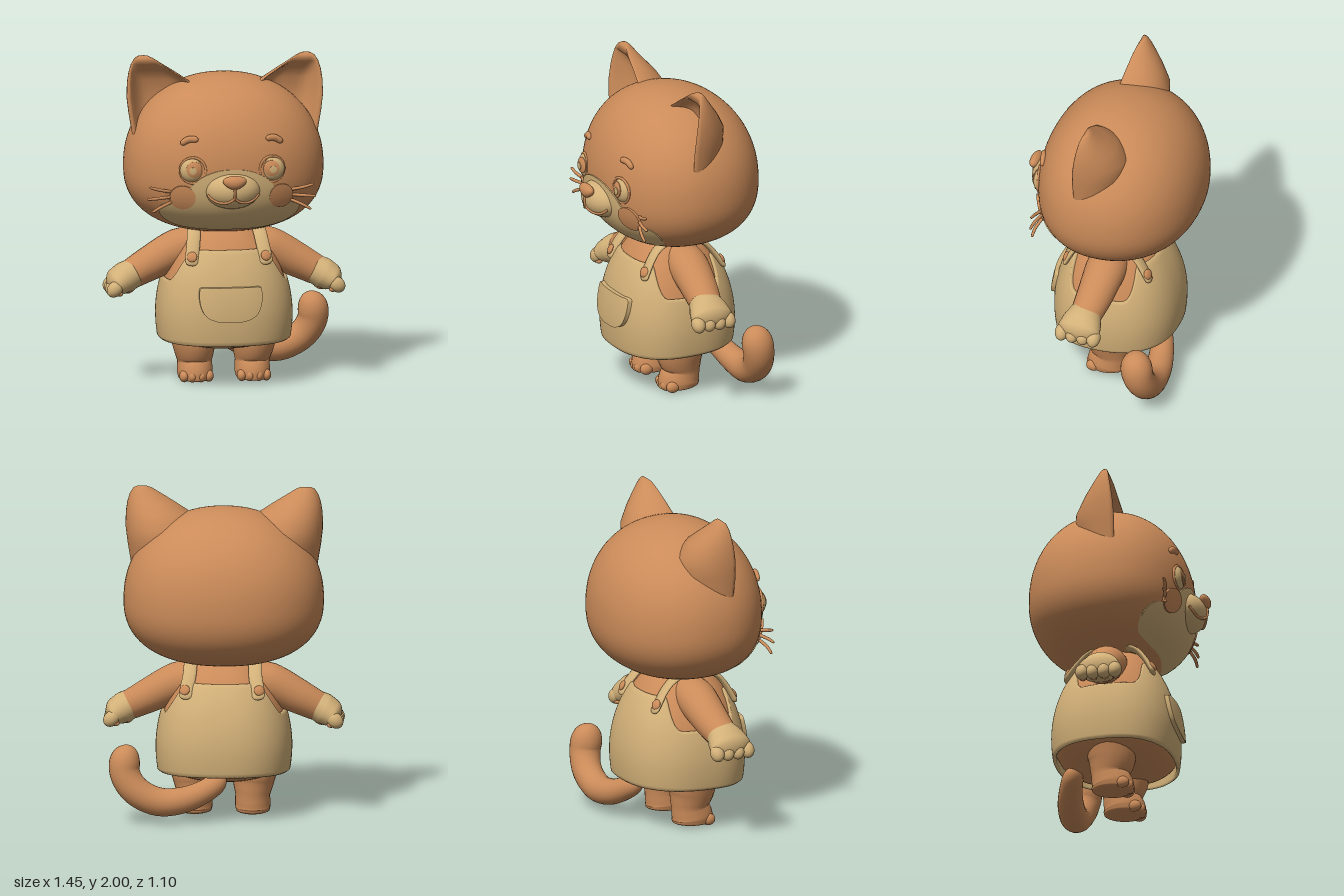
import * as THREE from 'three';

const V = (x, y, z) => new THREE.Vector3(x, y, z);
const spow = (a, p) => Math.sign(a) * Math.pow(Math.abs(a), p);
const root = (a, p) => Math.pow(Math.max(a, 0), p);
const TAU = Math.PI * 2;

// Skin closed rings of points into one smooth surface
function loft(rings) {
  const n = rings[0].length, pos = [], idx = [];
  rings.forEach(r => r.forEach(p => pos.push(p.x, p.y, p.z)));
  for (let i = 0; i < rings.length - 1; i++) for (let j = 0; j < n; j++) {
    const a = i * n + j, b = i * n + (j + 1) % n, c = a + n, d = b + n;
    idx.push(a, c, b, b, c, d);
  }
  const g = new THREE.BufferGeometry();
  g.setAttribute('position', new THREE.Float32BufferAttribute(pos, 3));
  g.setIndex(idx);
  g.computeVertexNormals();
  return g;
}

const ring = (n, fn) => Array.from({ length: n }, (_, j) => fn(j / n * TAU));

// Tube with changing elliptical section; r1 lies across ref, r2 along it
function sweep(pts, r1, r2, { ref = V(0, 0, 1), start = 0.1, end = 0.1, n = 36, seg = 24 } = {}) {
  const curve = new THREE.CatmullRomCurve3(pts.map(p => V(...p)));
  const lerp = (a, t) => {
    const f = t * (a.length - 1), i = Math.min(Math.floor(f), a.length - 2);
    return a[i] + (a[i + 1] - a[i]) * (f - i);
  };
  const rings = [];
  for (let i = 0; i <= n; i++) {
    const t = 0.5 - 0.5 * Math.cos(Math.PI * i / n);
    const c = curve.getPoint(t), T = curve.getTangent(t);
    const B = ref.clone().addScaledVector(T, -ref.dot(T)).normalize();
    const N = T.clone().cross(B);
    let k = 1;
    if (t < start) k = root(1 - ((start - t) / start) ** 2, 0.5);
    if (t > 1 - end) k = root(1 - ((t - 1 + end) / end) ** 2, 0.5);
    rings.push(ring(seg, a => c.clone().addScaledVector(N, Math.cos(a) * lerp(r1, t) * k)
      .addScaledVector(B, Math.sin(a) * lerp(r2, t) * k)));
  }
  return loft(rings);
}

// Thin plate with a closed outline, draped over a front surface z(x, y)
function patch(outline, cx, cy, zFn, h) {
  const curve = new THREE.CatmullRomCurve3(outline.map(p => V(p[0], p[1], 0)), true);
  const edge = Array.from({ length: 72 }, (_, j) => curve.getPoint(j / 72));
  const at = (k, o) => edge.map(p => {
    const x = cx + (p.x - cx) * k, y = cy + (p.y - cy) * k;
    return V(x, y, zFn(x, y) + o);
  });
  const rings = [];
  for (let i = 0; i <= 14; i++) rings.push(at(i / 14, h));
  rings.push(at(1, h), at(1, -0.003));
  return loft(rings);
}
const circle = (x, y, rx, ry = rx) => ring(12, a => [x + rx * Math.cos(a), y + ry * Math.sin(a)]);
const ball = (x, y, z, rx, ry, rz) => new THREE.SphereGeometry(1, 28, 20).scale(rx, ry, rz).translate(x, y, z);

function mirror(g) {
  const m = g.clone().scale(-1, 1, 1), ix = m.index.array;
  for (let i = 0; i < ix.length; i += 3) [ix[i], ix[i + 1]] = [ix[i + 1], ix[i]];
  return m;
}

// Head surface
const HM = 2.15;
const headR = y => {
  const v = (y - 1.32) / (y > 1.32 ? 0.56 : 0.4), n = y > 1.32 ? 2.1 : 2.4;
  return root(1 - Math.pow(Math.abs(v), n), 1 / n);
};
const headZ = (x, y) => -0.03 + 0.475 * root(headR(y) ** HM - Math.abs(x / 0.605) ** HM, 1 / HM);
const muzzleZ = (x, y) => 0.4 + 0.13 * root(1 - (x / 0.17) ** 2 - ((y - 1.235) / 0.115) ** 2, 0.5);
const eyeZ = (x, y) => 0.385 + 0.055 * root(1 - ((x - 0.24) / 0.08) ** 2 - ((y - 1.36) / 0.08) ** 2, 0.5);

// Torso surface, shared by the body and the dress
const BM = 2.4;
const bodyF = y => y > 0.42 ? root(1 - Math.pow((y - 0.42) / 0.6, 1.9), 0.526) : 1 - 0.03 * ((0.42 - y) / 0.15) ** 2;
const bodyPoint = (a, y, o, k = 1) => {
  const f = bodyF(y), s = Math.sin(a);
  return V((0.412 * f + o) * k * spow(Math.cos(a), 2 / BM), y, ((s > 0 ? 0.355 : 0.415) * f + o) * k * spow(s, 2 / BM));
};
const dressZ = (x, y) => 0.355 * bodyF(y) * root(1 - Math.abs(x / (0.412 * bodyF(y))) ** BM, 1 / BM);

export function createModel() {
  const model = new THREE.Group();
  model.name = 'kitten';
  const fur = new THREE.MeshStandardMaterial({ color: 0xcb8b59 });
  fur.name = 'orange fur';
  const cream = new THREE.MeshStandardMaterial({ color: 0xd2b078 });
  cream.name = 'cream';
  const dressMat = cream.clone();
  dressMat.side = THREE.DoubleSide;
  dressMat.name = 'cream cloth';
  const add = (name, geo, mat) => {
    const m = new THREE.Mesh(geo, mat);
    m.name = name;
    model.add(m);
    return m;
  };
  const pair = (name, geo, mat) => {
    add(name + 'Left', geo, mat);
    add(name + 'Right', mirror(geo), mat);
  };

  // Head
  const headRings = [];
  for (let i = 0; i <= 56; i++) {
    const v = Math.sin((i / 56 - 0.5) * Math.PI), y = 1.32 + v * (v > 0 ? 0.56 : 0.4), r = headR(y);
    headRings.push(ring(80, a => V(0.605 * r * spow(Math.cos(a), 2 / HM), y,
      -0.03 + (Math.sin(a) > 0 ? 0.475 : 0.52) * r * spow(Math.sin(a), 2 / HM))));
  }
  add('head', loft(headRings), fur);

  // Ears: rounded at the back, hollow at the front. Rows: y, inner x, outer x, front z, depth
  const earRows = [[1.5, 0.1, 0.56, 0.05, 0.2], [1.65, 0.12, 0.585, 0.05, 0.25], [1.75, 0.14, 0.597, 0.045, 0.24],
    [1.84, 0.21, 0.594, 0.04, 0.18], [1.9, 0.3, 0.585, 0.035, 0.125], [1.95, 0.38, 0.57, 0.03, 0.08],
    [1.985, 0.435, 0.548, 0.022, 0.045], [1.998, 0.465, 0.525, 0.01, 0.02], [2, 0.495, 0.497, 0, 0.001]];
  pair('ear', loft(earRows.map(([y, xi, xo, zf, d]) => ring(40, a => {
    const s = Math.sin(a);
    const hollow = THREE.MathUtils.smoothstep(s, 0.35, 0.95) * d * 0.6 * (y > 1.94 ? 0 : 1);
    return V((xi + xo) / 2 + (xo - xi) / 2 * Math.cos(a), y, s < 0 ? zf + d * s : zf + 0.12 * d * Math.min(s * 3, 1) - hollow);
  }))), fur);

  // Face markings
  const half = [[0.2, 0.97], [0.34, 1.0], [0.42, 1.07], [0.42, 1.13], [0.34, 1.17], [0.27, 1.24], [0.2, 1.31], [0.1, 1.355]];
  const mask = [[0, 0.965], ...half, [0, 1.365], ...half.map(([x, y]) => [-x, y]).reverse()];
  add('faceMask', patch(mask, 0, 1.15, headZ, 0.008), cream);
  pair('cheek', patch(circle(0.3, 1.19, 0.075), 0.3, 1.19, headZ, 0.015), fur);

  // Muzzle, nose and mouth
  add('muzzle', ball(0, 1.235, 0.4, 0.17, 0.115, 0.13), cream);
  const nose = ball(0, 0, 0, 0.07, 0.042, 0.035), np = nose.attributes.position;
  for (let i = 0; i < np.count; i++) np.setX(i, np.getX(i) * (1 + 7 * np.getY(i)));
  nose.computeVertexNormals();
  add('nose', nose.translate(0, 1.298, 0.517), fur);
  const lip = pts => new THREE.TubeGeometry(new THREE.CatmullRomCurve3(
    pts.map(([x, y]) => V(x, y, Math.max(headZ(x, y), muzzleZ(x, y)) + 0.003))), 24, 0.008, 8);
  pair('mouth', lip([[0, 1.2], [0.04, 1.175], [0.09, 1.172], [0.13, 1.19], [0.155, 1.215]]), fur);
  add('mouthLine', lip([[0, 1.27], [0, 1.235], [0, 1.2]]), fur);

  // Eyes and brows
  pair('eye', ball(0.24, 1.36, 0.385, 0.08, 0.08, 0.055), cream);
  pair('eyeRim', new THREE.TorusGeometry(0.078, 0.008, 10, 40).rotateY(0.22).translate(0.24, 1.36, 0.408), fur);
  pair('iris', patch(circle(0.235, 1.368, 0.048), 0.235, 1.368, eyeZ, 0.004), fur);
  pair('eyeGlint', patch(circle(0.245, 1.362, 0.022), 0.245, 1.362, eyeZ, 0.008), cream);
  const brow = [[0.205, 1.545], [0.26, 1.545], [0.31, 1.515]].map(([x, y]) => [x, y, headZ(x, y) + 0.006]);
  pair('brow', sweep(brow, [0.018, 0.021, 0.018], [0.015, 0.018, 0.015], { start: 0.2, end: 0.2 }), fur);

  // Whiskers
  [[1.22, 0.5, 1.255], [1.19, 0.515, 1.18], [1.16, 0.485, 1.1]].forEach(([y0, x1, y1], i) =>
    pair('whisker' + i, sweep([[0.36, y0, 0.345], [(0.38 + x1) / 2, (y0 + y1) / 2, 0.365], [x1, y1, 0.368]],
      [0.01, 0.01, 0.008], [0.01, 0.01, 0.008], { n: 12, seg: 10 }), fur));

  // Body
  const bodyRings = [];
  for (let i = 0; i <= 40; i++) {
    const y = 0.2 + 0.8 * (0.5 - 0.5 * Math.cos(Math.PI * i / 40));
    bodyRings.push(ring(64, a => bodyPoint(a, y, -0.018, y < 0.36 ? root(1 - ((0.36 - y) / 0.16) ** 2, 0.5) : 1)));
  }
  add('body', loft(bodyRings), fur);

  // Pinafore dress with armholes and a turned hem
  const hemY = a => 0.27 - 0.01 * Math.sin(a);
  const topY = a => 0.83 - 0.19 * THREE.MathUtils.smoothstep(Math.abs(Math.cos(a)), 0.7, 0.93);
  const dress = [ring(96, a => bodyPoint(a, 0.38, -0.02)), ring(96, a => bodyPoint(a, hemY(a) + 0.01, -0.022)),
    ring(96, a => bodyPoint(a, hemY(a), -0.01))];
  for (let i = 0; i <= 30; i++) dress.push(ring(96, a => bodyPoint(a, hemY(a) + 0.01 + (topY(a) - hemY(a) - 0.01) * i / 30, 0)));
  dress.push(ring(96, a => bodyPoint(a, topY(a) + 0.006, -0.008)), ring(96, a => bodyPoint(a, topY(a), -0.022)));
  add('dress', loft(dress), dressMat);

  // Pocket
  const pocket = [[0, 0.415], [0.09, 0.422], [0.155, 0.455], [0.186, 0.52], [0.19, 0.6], [0.183, 0.62], [0.1, 0.624],
    [-0.1, 0.624], [-0.183, 0.62], [-0.19, 0.6], [-0.186, 0.52], [-0.155, 0.455], [-0.09, 0.422]];
  add('pocket', patch(pocket, 0, 0.53, dressZ, 0.026), cream);

  // Shoulder straps and buttons
  pair('strap', sweep([[0.228, 0.745, 0.25], [0.222, 0.8, 0.225], [0.21, 0.87, 0.185], [0.2, 0.93, 0.13], [0.19, 0.97, 0],
    [0.195, 0.93, -0.15], [0.2, 0.87, -0.215], [0.215, 0.8, -0.265], [0.222, 0.745, -0.3]],
    [0.016, 0.016], [0.041, 0.041], { ref: V(1, 0, 0), start: 0.06, end: 0.06 }), cream);
  const button = (z, tilt, turn) => ball(0, 0, 0, 0.032, 0.032, 0.014).rotateX(tilt).rotateY(turn).translate(0.225, 0.8, z);
  pair('frontButton', button(0.243, -0.45, 0.3), fur);
  pair('backButton', button(-0.283, 0.45, -0.3), fur);

  // Arms, paws, fingers and pads
  pair('arm', sweep([[0.12, 0.84, -0.03], [0.28, 0.805, -0.03], [0.45, 0.72, -0.02], [0.61, 0.635, 0]],
    [0.11, 0.12, 0.105, 0.085], [0.12, 0.125, 0.11, 0.09]), fur);
  pair('paw', sweep([[0.535, 0.675, -0.005], [0.6, 0.643, 0], [0.655, 0.61, 0.003], [0.7, 0.575, 0.005]],
    [0.086, 0.094, 0.082, 0.06], [0.094, 0.12, 0.135, 0.12], { start: 0.03, end: 0.4 }), cream);
  [-0.098, -0.032, 0.036, 0.104].forEach((z, i) => {
    pair('finger' + i, ball(0, 0, 0, 0.055, 0.045, 0.042).rotateZ(-0.8).translate(0.675, 0.588, z), cream);
    pair('fingerPad' + i, ball(0.65, 0.558, z, 0.024, 0.016, 0.022), fur);
  });
  pair('palmPad', ball(0, 0, 0, 0.035, 0.016, 0.05).rotateZ(-0.5).translate(0.573, 0.565, 0.003), fur);

  // Legs and toes
  pair('leg', sweep([[0.175, 0, -0.015], [0.175, 0.05, -0.015], [0.175, 0.12, -0.03], [0.18, 0.22, -0.02], [0.19, 0.36, -0.02]],
    [0.095, 0.108, 0.105, 0.13, 0.155], [0.125, 0.13, 0.115, 0.145, 0.16], { start: 0.1, end: 0.05 }), fur);
  [-0.075, -0.026, 0.026, 0.075].forEach((x, i) =>
    pair('toe' + i, ball(0.175 + x, 0.037, 0.083 - Math.abs(x) * 0.3, 0.029, 0.036, 0.042), fur));

  // Tail
  add('tail', sweep([[-0.02, 0.27, -0.28], [0.1, 0.19, -0.33], [0.23, 0.14, -0.36], [0.38, 0.13, -0.37], [0.52, 0.2, -0.37],
    [0.585, 0.31, -0.35], [0.565, 0.47, -0.325]],
    [0.06, 0.07, 0.08, 0.087, 0.09, 0.092, 0.1], [0.06, 0.07, 0.08, 0.087, 0.09, 0.095, 0.105], { end: 0.13, n: 48 }), fur);
  return model;
}
